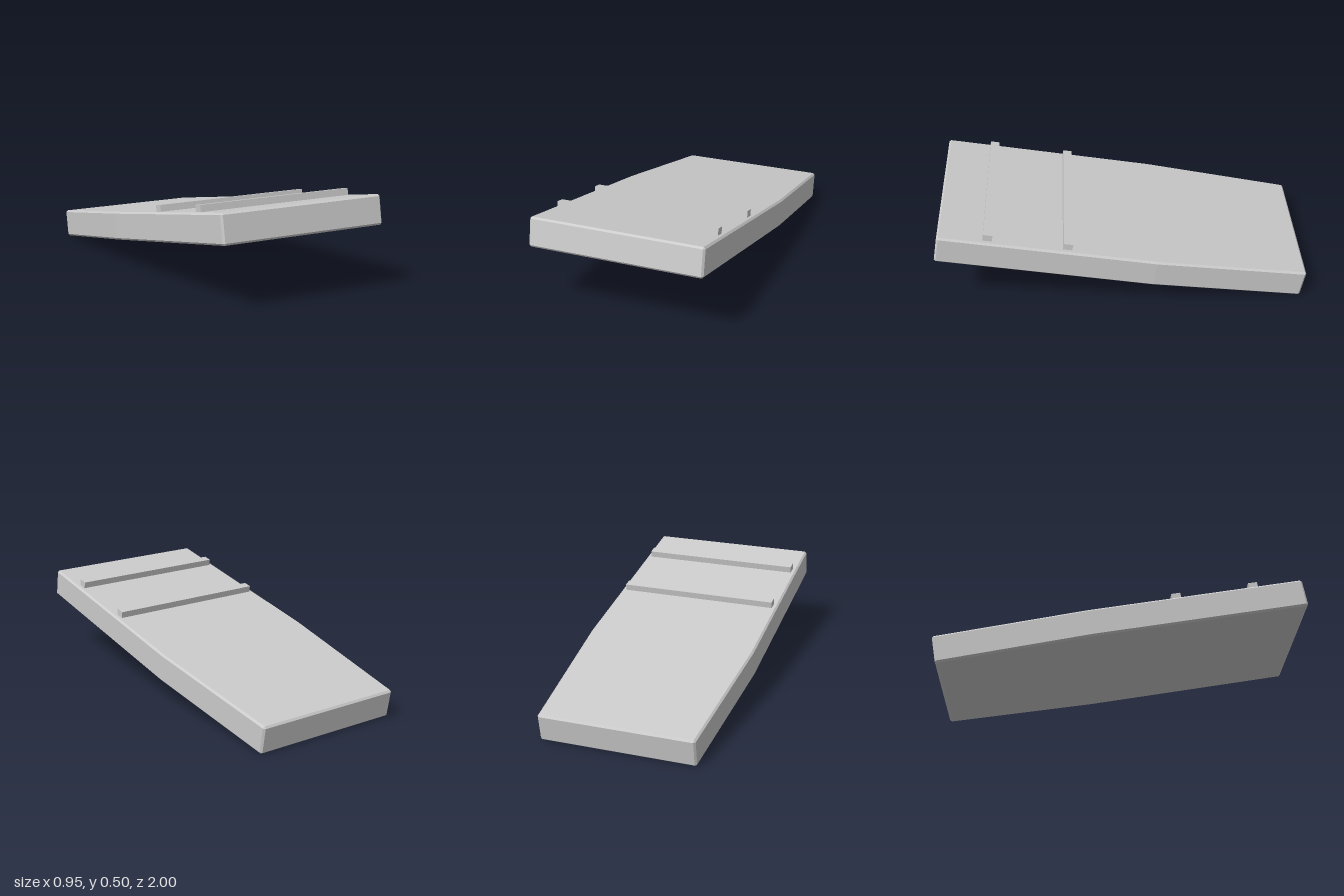
import * as THREE from 'three';
import { ConvexGeometry } from 'three/addons/geometries/ConvexGeometry.js';

const LENGTH = 2.007, THICK = 0.157, BEVEL = 0.01, TILT = Math.PI / 18;
const FRONT_HALF = 0.474, BACK_HALF = 0.423, KINK_Z = -0.17;

export function createModel() {
  const model = new THREE.Group();
  model.name = 'tiltedBoard';
  const material = new THREE.MeshStandardMaterial({ color: 0xcccccc, flatShading: true });

  // Board: six-sided outline tapering to the back, every edge chamfered
  const h = THICK / 2, l = LENGTH / 2, b = BEVEL;
  const points = [];
  for (const sx of [-1, 1]) {
    for (const sy of [-1, 1]) {
      const add = (x, y, z) => points.push(new THREE.Vector3(sx * x, sy * y, z));
      for (const [x, z, end] of [[FRONT_HALF, l, 1], [FRONT_HALF, KINK_Z, 0], [BACK_HALF, -l, -1]]) {
        add(x - b, h, z - end * b); // rim of the flat face
        add(x, h - b, z - end * b); // side wall
        if (end) add(x - b, h - b, z); // end wall
      }
    }
  }
  const board = new THREE.Mesh(new ConvexGeometry(points), material);
  board.name = 'board';
  model.add(board);

  // Two raised cross bars on the upper face
  [0.74, 0.315].forEach((z, i) => {
    const bar = new THREE.Mesh(new THREE.BoxGeometry(0.894, 0.045, 0.05), material);
    bar.name = i ? 'rearCrossBar' : 'frontCrossBar';
    bar.position.set(0, h + 0.0135, z);
    model.add(bar);
  });

  // Front end raised, lower back edge on the ground
  model.rotation.x = -TILT;
  model.position.y = 0.25;
  const root = new THREE.Group();
  root.name = 'ramp';
  root.add(model);
  return root;
}
